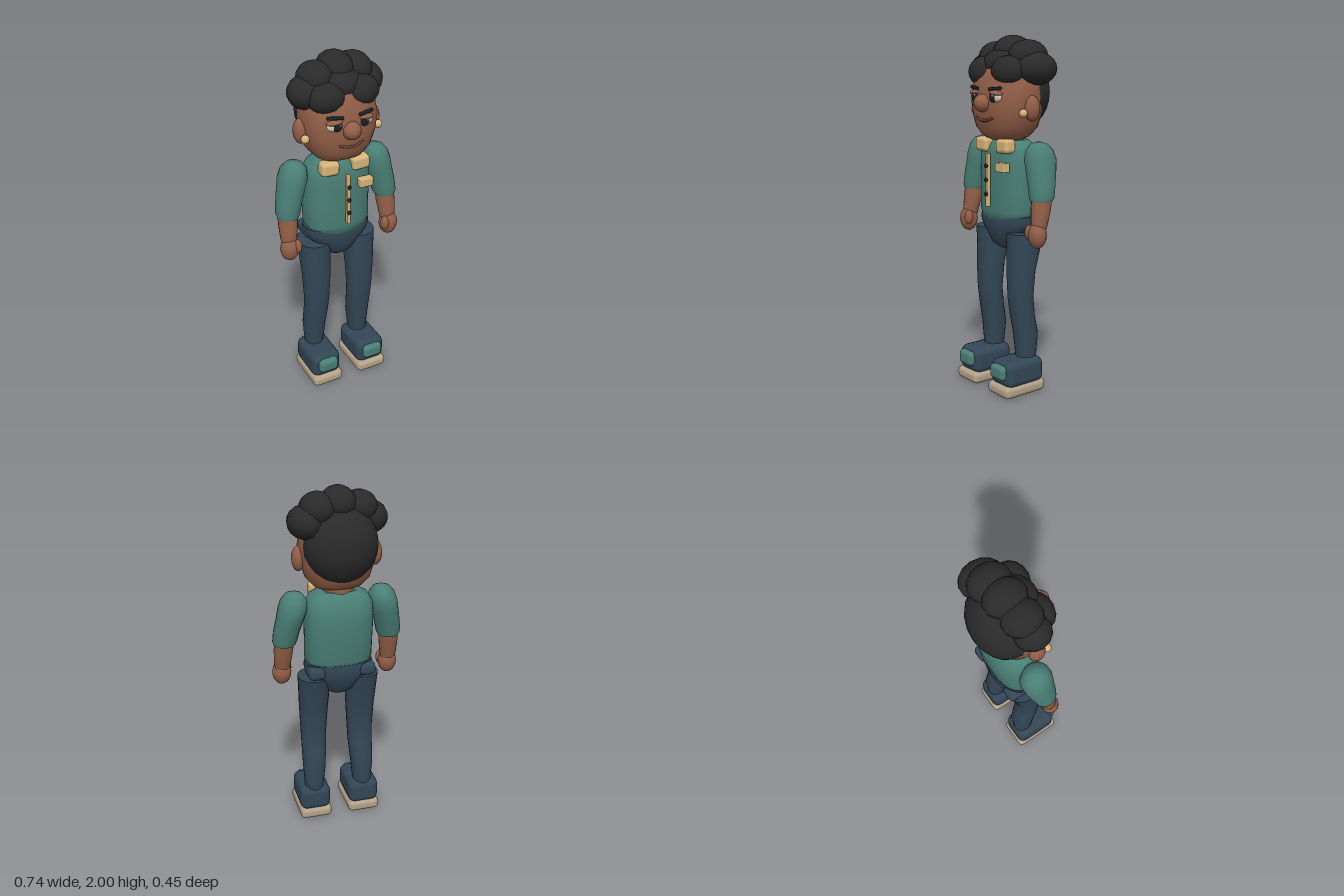
import * as THREE from 'three';
import { RoundedBoxGeometry } from 'three/addons/geometries/RoundedBoxGeometry.js';

const mat = (name, color) => new THREE.MeshStandardMaterial({ name, color });

// Closed smooth body from superelliptic rings: [y, centreX, centreZ, radiusX, radiusZ]
function loft(rings, power = 2, n = 20) {
  const pos = [], idx = [];
  const round = (v) => Math.sign(v) * Math.pow(Math.abs(v), 2 / power);
  const addRing = ([y, cx, cz, rx, rz]) => {
    const start = pos.length / 3;
    for (let j = 0; j < n; j++) {
      const t = (j / n) * Math.PI * 2;
      pos.push(cx + rx * round(Math.cos(t)), y, cz + rz * round(Math.sin(t)));
    }
    return start;
  };
  const starts = rings.map(addRing);
  for (let i = 0; i < rings.length - 1; i++) {
    for (let j = 0; j < n; j++) {
      const k = (j + 1) % n, a = starts[i], c = starts[i + 1];
      idx.push(a + j, c + j, a + k, a + k, c + j, c + k);
    }
  }
  // flat end caps with their own corners
  [rings[0], rings[rings.length - 1]].forEach((r, top) => {
    const s = addRing(r), mid = pos.length / 3;
    pos.push(r[1], r[0], r[2]);
    for (let j = 0; j < n; j++) {
      const k = (j + 1) % n;
      if (top) idx.push(mid, s + k, s + j);
      else idx.push(mid, s + j, s + k);
    }
  });
  const g = new THREE.BufferGeometry();
  g.setAttribute('position', new THREE.Float32BufferAttribute(pos, 3));
  g.setIndex(idx);
  g.computeVertexNormals();
  return g;
}

export function createModel() {
  const model = new THREE.Group();
  model.name = 'standingFigure';
  const skin = mat('skin', 0x935f48);
  const hair = mat('hair', 0x2a2a2a);
  const shirt = mat('shirtTeal', 0x4a7f76);
  const denim = mat('trouserNavy', 0x334757);
  const trim = mat('tanTrim', 0xd8b67a);
  const rubber = mat('soleBeige', 0xb5a38a);
  const dark = mat('darkDetail', 0x1c2026);
  const white = mat('eyeCream', 0xd9cdb4);
  const lip = mat('lipBrown', 0x6e4233);

  const add = (name, geo, material, x = 0, y = 0, z = 0) => {
    const m = new THREE.Mesh(geo, material);
    m.name = name;
    m.position.set(x, y, z);
    model.add(m);
    return m;
  };
  const ball = (name, material, x, y, z, rx, ry = rx, rz = rx, w = 14, h = 10) => {
    const m = add(name, new THREE.SphereGeometry(1, w, h), material, x, y, z);
    m.scale.set(rx, ry, rz);
    return m;
  };
  const box = (name, material, x, y, z, w, h, d, r) =>
    add(name, new RoundedBoxGeometry(w, h, d, 2, r), material, x, y, z);

  // Head and neck
  add('head', loft([
    [1.43, 0, 0.02, 0.09, 0.07], [1.45, 0, 0.015, 0.135, 0.115], [1.5, 0, 0.01, 0.18, 0.15],
    [1.58, 0, 0.01, 0.205, 0.167], [1.67, 0, 0.01, 0.217, 0.167], [1.76, 0, 0, 0.205, 0.16],
    [1.84, 0, 0, 0.16, 0.125], [1.88, 0, 0, 0.08, 0.06],
  ], 2.4, 24), skin);
  add('neck', new THREE.CylinderGeometry(0.088, 0.092, 0.14, 18), skin, 0, 1.42, -0.012);
  ball('nose', skin, 0, 1.635, 0.177, 0.051, 0.05, 0.051);

  // Hair: large mass behind and puffs over the crown
  ball('backHair', hair, 0, 1.69, -0.065, 0.205, 0.215, 0.163, 20, 14);
  [
    [-0.18, 1.815, 0.0, 0.097, 0.09, 0.1],
    [0.188, 1.82, -0.045, 0.098, 0.09, 0.122],
    [-0.1, 1.8, 0.085, 0.105, 0.085, 0.085],
    [0.1, 1.805, 0.08, 0.105, 0.085, 0.085],
    [-0.115, 1.88, -0.015, 0.1, 0.087, 0.11],
    [0.005, 1.91, -0.03, 0.098, 0.09, 0.118],
    [0.12, 1.885, -0.04, 0.1, 0.09, 0.118],
    [0, 1.84, 0.03, 0.13, 0.09, 0.11],
  ].forEach((p) => ball('hairPuff', hair, ...p));

  // Mouth
  const smile = new THREE.CatmullRomCurve3([
    new THREE.Vector3(-0.07, 1.555, 0.163), new THREE.Vector3(-0.02, 1.543, 0.175),
    new THREE.Vector3(0.03, 1.543, 0.174), new THREE.Vector3(0.075, 1.56, 0.162),
  ]);
  add('mouth', new THREE.TubeGeometry(smile, 12, 0.008, 6), lip);

  // Torso
  add('shirtBody', loft([
    [0.96, 0, -0.005, 0.09, 0.08], [0.985, 0, -0.005, 0.165, 0.115], [1.03, 0, -0.007, 0.192, 0.121],
    [1.15, 0, -0.015, 0.192, 0.133], [1.27, 0, -0.02, 0.194, 0.138], [1.35, 0, -0.015, 0.19, 0.13],
    [1.4, 0, -0.01, 0.165, 0.11], [1.43, 0, -0.01, 0.11, 0.085],
  ], 2.5, 28), shirt);
  box('buttonPlacket', trim, 0, 1.21, 0.143, 0.02, 0.3, 0.025, 0.005);
  [1.29, 1.212, 1.133].forEach((y) => ball('button', dark, 0, y, 0.157, 0.013, 0.013, 0.01, 10, 8));
  box('chestPocket', trim, 0.112, 1.29, 0.13, 0.08, 0.05, 0.045, 0.006);

  // Pelvis
  add('pelvis', loft([
    [0.815, 0, -0.005, 0.05, 0.055], [0.84, 0, -0.005, 0.085, 0.085], [0.9, 0, -0.008, 0.135, 0.108],
    [0.94, 0, -0.01, 0.18, 0.117], [0.98, 0, -0.01, 0.198, 0.12], [1.01, 0, -0.01, 0.194, 0.117],
  ], 2.4, 24), denim);

  for (const s of [1, -1]) {
    const side = s > 0 ? 'left' : 'right';

    // Eye, brow, ear and earring
    ball(side + 'Eye', white, s * 0.088, 1.668, 0.148, 0.047, 0.032, 0.03);
    ball(side + 'Iris', dark, s * 0.08, 1.668, 0.166, 0.029, 0.028, 0.017);
    ball(side + 'EyeGlint', white, s * 0.08 + 0.012, 1.677, 0.18, 0.006, 0.006, 0.005, 8, 6);
    const lid = ball(side + 'Eyelid', skin, s * 0.088, 1.69, 0.15, 0.05, 0.016, 0.034);
    lid.rotation.z = -s * 0.08;
    const brow = box(side + 'Brow', dark, s * 0.09, 1.715, 0.163, 0.09, 0.017, 0.018, 0.006);
    brow.rotation.set(0, s * 0.2, s * 0.08);
    ball(side + 'Ear', skin, s * 0.217, 1.61, 0.008, 0.037, 0.07, 0.046);
    ball(side + 'Earring', trim, s * 0.217, 1.586, 0.07, 0.023);

    // Collar
    const collar = box(side + 'Collar', trim, s * 0.092, 1.402, 0.092, 0.105, 0.08, 0.075, 0.022);
    collar.rotation.z = s * 0.05;

    // Arm
    add(side + 'Sleeve', loft([
      [1.12, s * 0.303, 0.012, 0.06, 0.063], [1.14, s * 0.302, 0.01, 0.069, 0.069],
      [1.2, s * 0.292, 0.002, 0.073, 0.077], [1.28, s * 0.272, -0.01, 0.078, 0.087],
      [1.34, s * 0.258, -0.016, 0.082, 0.092], [1.39, s * 0.252, -0.014, 0.071, 0.078],
      [1.42, s * 0.25, -0.012, 0.047, 0.05], [1.432, s * 0.25, -0.012, 0.015, 0.015],
    ], 2, 18), shirt);
    add(side + 'Forearm', loft([
      [0.97, s * 0.312, 0.037, 0.042, 0.042], [1.0, s * 0.312, 0.034, 0.048, 0.046],
      [1.08, s * 0.308, 0.02, 0.055, 0.055], [1.15, s * 0.304, 0.01, 0.055, 0.056],
    ], 2, 16), skin);
    ball(side + 'Hand', skin, s * 0.314, 0.937, 0.05, 0.055, 0.073, 0.05);
    ball(side + 'Thumb', skin, s * 0.278, 0.95, 0.075, 0.025, 0.043, 0.026);

    // Trouser leg and hip pocket
    add(side + 'Leg', loft([
      [0.18, s * 0.149, -0.01, 0.053, 0.058], [0.33, s * 0.146, -0.01, 0.066, 0.07],
      [0.45, s * 0.142, 0.012, 0.072, 0.067], [0.55, s * 0.141, 0.024, 0.075, 0.068],
      [0.7, s * 0.14, 0.02, 0.083, 0.077], [0.83, s * 0.14, 0.002, 0.089, 0.094],
      [0.92, s * 0.14, -0.008, 0.093, 0.105],
    ], 2.2, 20), denim);
    box(side + 'HipPocket', denim, s * 0.145, 0.968, -0.055, 0.1, 0.075, 0.15, 0.03);

    // Shoe
    box(side + 'Sole', rubber, s * 0.148, 0.035, 0.058, 0.19, 0.07, 0.285, 0.028);
    box(side + 'ShoeUpper', denim, s * 0.149, 0.128, 0.053, 0.182, 0.15, 0.262, 0.042);
    box(side + 'ToeCap', shirt, s * 0.149, 0.143, 0.185, 0.122, 0.085, 0.055, 0.026);
  }
  return model;
}
